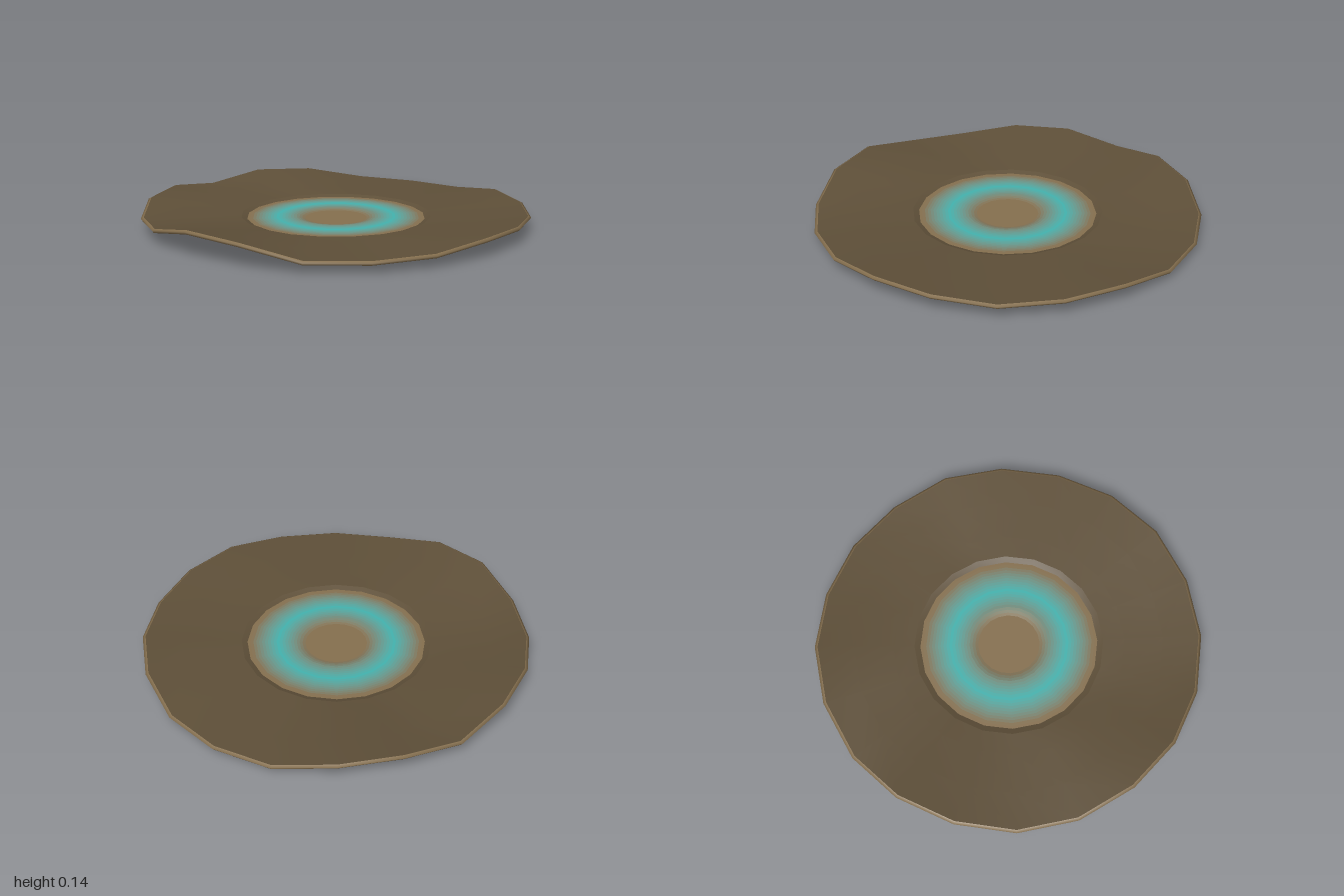
import * as THREE from 'three';

const SIDES = 20;
const TAN = new THREE.Color(0x86704f);
const TEAL = new THREE.Color(0x42b4b0);

// Height of the wavy brim at each of the 20 rim corners, starting at +x and turning towards +z
const RIM = [
  0.045, 0.085, 0.08, 0.072, 0.088, 0.095, 0.068, 0.06, 0.062, 0.122,
  0.135, 0.08, 0.068, 0.105, 0.11, 0.07, 0.112, 0.1, 0.052, 0.045,
];

// Skin between rings; each ring is [radius, height, share of the rim wave].
// Rings that run outwards face up, rings that run inwards face down.
function loft(name, rings, color) {
  const pos = [];
  const index = [];
  for (const [r, y, wave = 0] of rings) {
    for (let j = 0; j < SIDES; j++) {
      const a = (j / SIDES) * Math.PI * 2;
      pos.push(r * Math.cos(a), y + wave * (RIM[j] - 0.08), r * Math.sin(a));
    }
  }
  for (let i = 0; i < rings.length - 1; i++) {
    for (let j = 0; j < SIDES; j++) {
      const k = (j + 1) % SIDES;
      const a = i * SIDES + j, b = i * SIDES + k;
      index.push(a, b, a + SIDES, b, b + SIDES, a + SIDES);
    }
  }
  const geo = new THREE.BufferGeometry();
  geo.setAttribute('position', new THREE.Float32BufferAttribute(pos, 3));
  geo.setIndex(index);
  geo.computeVertexNormals();
  const mat = new THREE.MeshStandardMaterial({ color, side: THREE.DoubleSide });
  const mesh = new THREE.Mesh(geo, mat);
  mesh.name = name;
  return mesh;
}

export function createModel() {
  const model = new THREE.Group();
  model.name = 'wavyDish';

  // Wavy brim: top, thin bevelled edge and underside
  const brown = 0x5f5039;
  model.add(
    loft('brimTop', [[0.49, 0.05], [0.6, 0.056, 0.22], [0.8, 0.068, 0.6], [0.985, 0.08, 1]], brown),
    loft('brimEdge', [[0.985, 0.08, 1], [1, 0.073, 1], [0.99, 0.06, 1]], TAN),
    loft('brimUnderside', [[0.99, 0.06, 1], [0.8, 0.046, 0.6], [0.6, 0.03, 0.15], [0.54, 0.026]], brown),
  );

  // Foot ring below the brim, with a sloping inner wall up to the disc
  model.add(
    loft('footRing', [[0.54, 0.026], [0.54, 0.004], [0.515, 0]], brown),
    loft('footInnerWall', [[0.515, 0], [0.45, 0.038]], TAN),
  );

  // Step from the brim down to the disc
  model.add(loft('brimStep', [[0.46, 0.04], [0.49, 0.05]], brown));

  // Disc: sunken centre, then narrow bands blending tan to teal and back
  const disc = new THREE.Group();
  disc.name = 'disc';
  disc.add(loft('discCentre', [[0, 0.032], [0.16, 0.032]], TAN));
  const start = 0.16, end = 0.46, bands = 20;
  const height = (r) => (r < 0.2 ? 0.032 + (r - start) * 0.2 : 0.04);
  for (let i = 0; i < bands; i++) {
    const r0 = start + ((end - start) * i) / bands;
    const r1 = start + ((end - start) * (i + 1)) / bands;
    const teal = Math.max(0, 1 - Math.abs((r0 + r1) / 2 - 0.3) / 0.14);
    const color = TAN.clone().lerp(TEAL, teal);
    disc.add(loft('discBand', [[r0, height(r0)], [r1, height(r1)]], color));
  }
  model.add(disc);
  return model;
}
